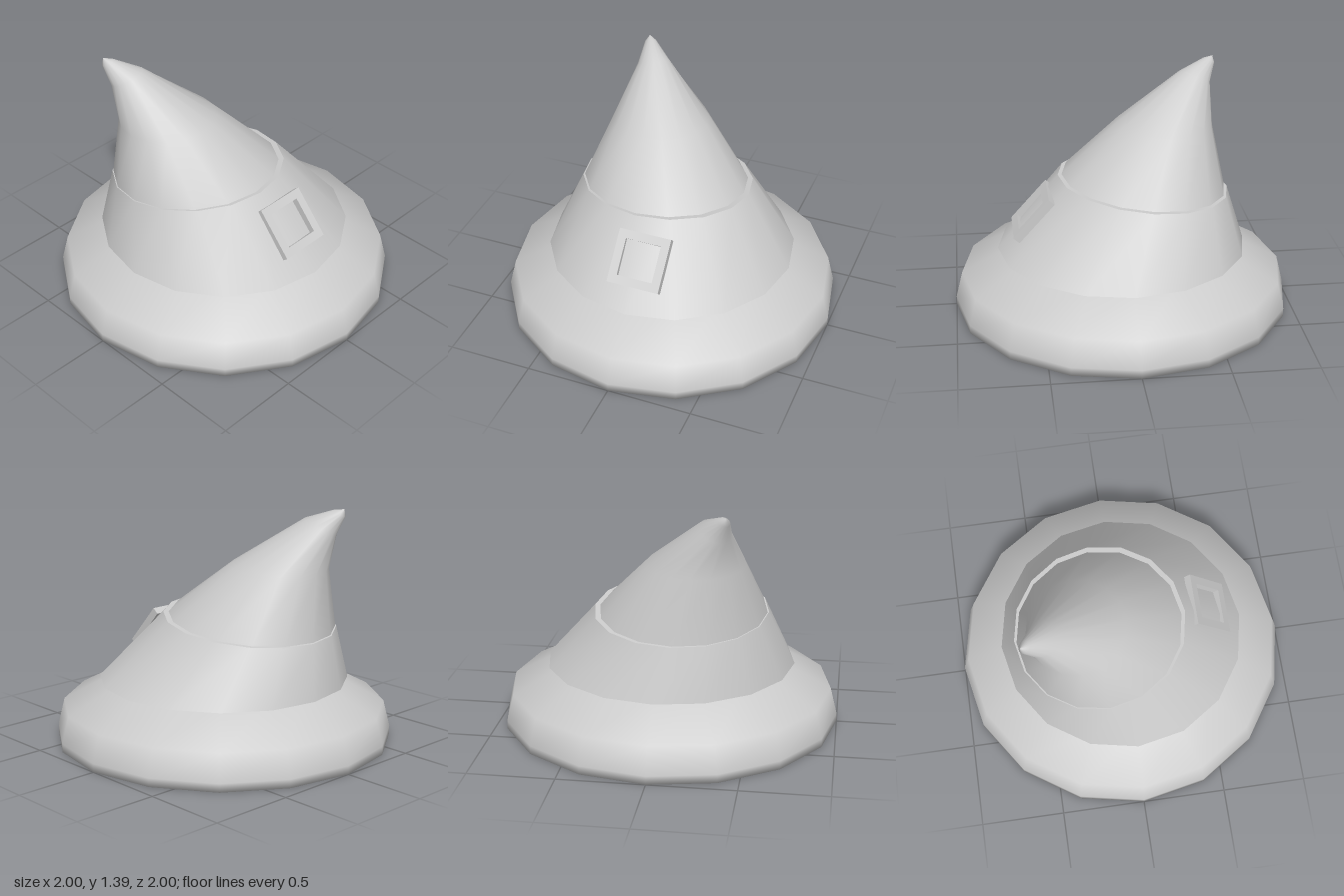
import * as THREE from 'three';

const SIDES = 16;
const material = new THREE.MeshStandardMaterial({ color: 0xcccccc });

// Skin through rings [x, y, z, radius, slopeX, slopeZ]; each ring may tilt by its slopes.
function loft(name, rings) {
  const positions = [], index = [];
  for (const [x, y, z, r, slopeX = 0, slopeZ = 0] of rings) {
    for (let j = 0; j < SIDES; j++) {
      const a = (j / SIDES) * Math.PI * 2;
      const dx = r * Math.cos(a), dz = r * Math.sin(a);
      positions.push(x + dx, y + dx * slopeX + dz * slopeZ, z + dz);
    }
  }
  for (let i = 0; i < rings.length - 1; i++) {
    for (let j = 0; j < SIDES; j++) {
      const k = (j + 1) % SIDES;
      const a = i * SIDES + j, b = i * SIDES + k;
      index.push(a, a + SIDES, b, b, a + SIDES, b + SIDES);
    }
  }
  const geometry = new THREE.BufferGeometry();
  geometry.setAttribute('position', new THREE.Float32BufferAttribute(positions, 3));
  geometry.setIndex(index);
  geometry.computeVertexNormals();
  const mesh = new THREE.Mesh(geometry, material);
  mesh.name = name;
  return mesh;
}

// Square buckle frame lying on the sloping band
function makeBuckle() {
  const outer = 0.157, inner = 0.107, depth = 0.045;
  const square = (path, s) => path.moveTo(-s, -s).lineTo(s, -s).lineTo(s, s).lineTo(-s, s).closePath();
  const shape = square(new THREE.Shape(), outer);
  shape.holes.push(square(new THREE.Path(), inner));
  const geometry = new THREE.ExtrudeGeometry(shape, { depth, bevelEnabled: false });
  geometry.translate(0, 0, -depth);
  const buckle = new THREE.Mesh(geometry, material);
  buckle.name = 'buckle';
  buckle.rotation.set(-0.73, Math.PI / 2, 0, 'YXZ');
  buckle.position.set(0.545, 0.607, -0.01);
  return buckle;
}

export function createModel() {
  const hat = new THREE.Group();
  hat.name = 'pointedHat';

  // Drooping brim with a flat closed underside
  hat.add(loft('brim', [
    [0, 0, 0, 0],
    [0, 0, 0, 1],
    [0, 0.05, 0, 1],
    [0, 0.21, 0, 0.96],
    [0, 0.37, 0, 0.66],
  ]));

  // Crown leaning over to a bent tip
  hat.add(loft('crown', [
    [0, 0.36, 0, 0.67],
    [-0.15, 0.733, 0.095, 0.485, 0.12, 0],
    [-0.282, 1.045, 0.18, 0.287, 0.055, 0],
    [-0.48, 1.288, 0.31, 0.093, 0.4, -0.3],
    [-0.575, 1.368, 0.367, 0.033, 0.5, -0.3],
    [-0.598, 1.392, 0.38, 0],
  ]));

  // Band with a lip at its lower and upper edges
  const low = [0, 0.36, 0, 0.74];
  const top = [-0.14, 0.722, 0.08, 0.51, 0.113, 0];
  const band = new THREE.Group();
  band.name = 'band';
  band.add(
    loft('bandSide', [low, top]),
    loft('bandLowerLip', [[0, 0.36, 0, 0.64], low]),
    loft('bandUpperLip', [top, [-0.145, 0.722, 0.085, 0.46, 0.113, 0]]),
  );
  hat.add(band, makeBuckle());
  return hat;
}
